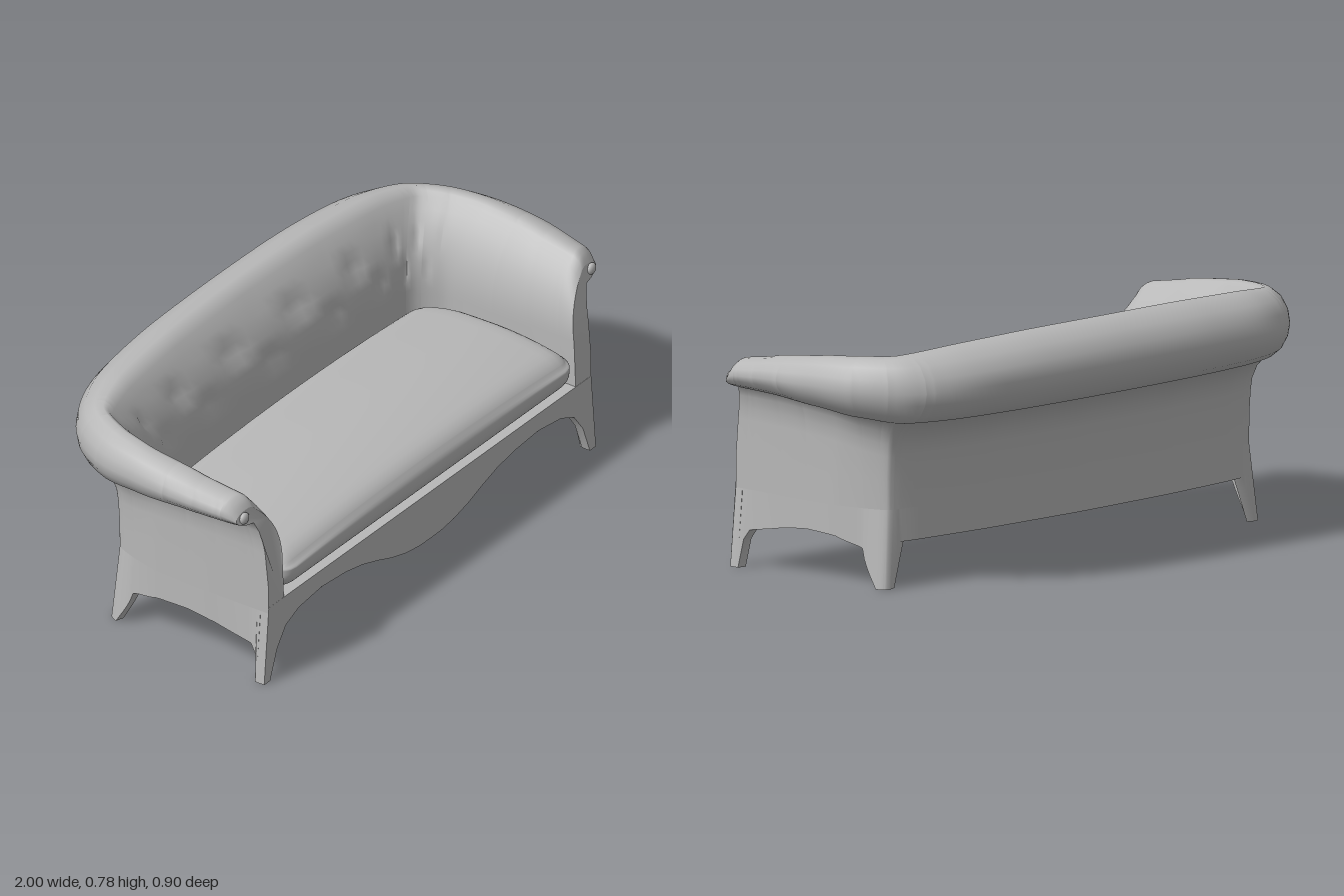
import * as THREE from 'three';
import { toCreasedNormals, mergeVertices } from 'three/addons/utils/BufferGeometryUtils.js';

const grey = new THREE.MeshStandardMaterial({ color: 0xb8b8b8, side: THREE.DoubleSide });
grey.name = 'grey upholstery';
const { lerp, clamp } = THREE.MathUtils;
const FRONT = 0.441;

// Skin a row of cross-sections (arrays of [x, y, z]).
function loft(rings, closed) {
  const n = rings[0].length, index = [];
  for (let i = 0; i < rings.length - 1; i++) {
    for (let j = 0; j < (closed ? n : n - 1); j++) {
      const a = i * n + j, c = i * n + (j + 1) % n, b = a + n, d = c + n;
      index.push(a, b, c, b, d, c);
    }
  }
  const g = new THREE.BufferGeometry();
  g.setAttribute('position', new THREE.Float32BufferAttribute(rings.flat(2), 3));
  g.setIndex(index);
  g.computeVertexNormals();
  return g;
}

// Stations from the left arm's front to the middle of the back:
// wall x, z; roll outer x, z; inner foot x, z; roll bottom y, roll top y
const half = [
  [0.862, FRONT, 0.975, 0.425, 0.78, FRONT, 0.59, 0.675],
  [0.866, 0.2, 1.0, 0.2, 0.78, 0.2, 0.59, 0.71],
  [0.86, 0.0, 0.995, 0.02, 0.775, 0.0, 0.575, 0.735],
  [0.838, -0.1, 0.955, -0.165, 0.755, -0.08, 0.555, 0.746],
  [0.806, -0.178, 0.845, -0.32, 0.7, -0.14, 0.54, 0.753],
  [0.69, -0.2, 0.66, -0.412, 0.6, -0.155, 0.54, 0.768],
  [0.4, -0.222, 0.38, -0.448, 0.36, -0.16, 0.54, 0.78],
  [0, -0.232, 0, -0.455, 0, -0.16, 0.54, 0.783],
];
const mirrored = half.slice(0, 7).reverse().map(([a, b, c, d, e, f, g, h]) => [-a, b, -c, d, -e, f, g, h]);
const keys = [...half, ...mirrored];
const curve = (tension, f) => new THREE.CatmullRomCurve3(keys.map(f), false, 'catmullrom', tension);
const wall = curve(0.2, k => new THREE.Vector3(k[0], k[6], k[1]));
const roll = curve(0.5, k => new THREE.Vector3(k[2], k[7], k[3]));
const foot = curve(0.5, k => new THREE.Vector3(k[4], 0, k[5]));

// Lower edge of sides and back: [station, y], with the legs reaching the floor
const hem = [[0, 0], [0.2, 0], [0.24, 0.09], [0.32, 0.122], [0.8, 0.147], [1.4, 0.158], [2, 0.15],
  [2.95, 0.122], [3.6, 0], [4.24, 0], [4.42, 0.145], [7, 0.145]];
function hemY(k) {
  const m = Math.min(k, 14 - k);
  const i = Math.max(1, hem.findIndex(p => p[0] >= m - 1e-6));
  const [a, b] = [hem[i - 1], hem[i]];
  return lerp(a[1], b[1], clamp((m - a[0]) / (b[0] - a[0]), 0, 1));
}
const stations = [...new Set([
  ...Array.from({ length: 113 }, (_, i) => i / 8),
  ...hem.flatMap(p => [p[0], 14 - p[0]]), 0.06, 13.94,
])].sort((a, b) => a - b);

// The arm fronts lean back with height; the feet flare outwards.
const lean = (y, z) => z - 0.038 * clamp((y - 0.3) / 0.3, 0, 1.1) ** 2 * clamp((z - 0.2) / 0.24, 0, 1);
function flare(x, y, z) {
  const f = Math.max(0, 1 - y / 0.145), back = z < 0;
  return [x + Math.sign(x) * (back ? 0.028 : 0.025) * f, y, z - (back ? 0.012 * f : 0)];
}

// Cross-section of the shell: up the outside, over the roll, down the tufted inside
const flank = [[0.04, 0.12], [0.08, 0.08], [0.2, 0.04], [0.42, 0.004]];
const rollProfile = [[0.6, 0.005], [0.8, 0.12], [0.95, 0.3], [1, 0.48], [0.95, 0.68], [0.8, 0.86], [0.58, 0.97], [0.38, 1], [0.26, 0.96]];
function section(k) {
  const W = wall.getPoint(k / 14), R = roll.getPoint(k / 14), B = foot.getPoint(k / 14);
  const m = Math.min(k, 14 - k), out = [];
  const round = Math.max(0, 1 - m / 0.25) ** 2; // softened front end of the roll
  const yb = W.y, yt = R.y - 0.033 * round, h = yt - yb;
  const spread = lerp(0.6, 1, clamp((m - 2) / 2, 0, 1));
  const at = (s, y) => out.push([lerp(W.x, R.x, s), y, lean(y, lerp(W.z, R.z, s))]);
  at(0, 0.25);
  at(0.01, 0.35);
  flank.forEach(([s, drop]) => at(s * spread, yb - drop));
  rollProfile.forEach(([s, f]) => at(s * (1 - 0.12 * round), yb + f * h));
  const sx = lerp(W.x, R.x, 0.17), sz = lerp(W.z, R.z, 0.17), len = Math.hypot(B.x - W.x, B.z - W.z);
  const fade = clamp((m - 2.8) / 2, 0, 1);
  for (let i = 0; i <= 10; i++) {
    const t = i / 10, y = lerp(yt - 0.12 * h, 0.43, t), e = 1 - (1 - t) ** 2.4;
    const dent = Math.max(0, Math.cos((k - 7) * 7) * Math.cos(t * Math.PI * 3)) ** 2;
    const d = fade * Math.sin(Math.PI * t) * (0.004 - 0.024 * dent) / len;
    out.push([lerp(sx, B.x, e) + (B.x - W.x) * d, y, lean(y, lerp(sz, B.z, e) + (B.z - W.z) * d)]);
  }
  out.push([B.x, 0.25, B.z]);
  return out;
}

// Side and back skirt below the shell, including the legs
function skirtSection(k) {
  const W = wall.getPoint(k / 14), B = foot.getPoint(k / 14), y = hemY(k);
  const f = 0.03 / Math.hypot(B.x - W.x, B.z - W.z);
  const ix = lerp(W.x, B.x, f), iz = lerp(W.z, B.z, f);
  return [flare(W.x, y, W.z), [W.x, 0.25, W.z], [ix, 0.25, iz], flare(ix, y, iz)];
}

// Front apron with a wavy lower edge
function frontApron() {
  const edge = [[0.862, 0], [0.83, 0], [0.81, 0.1], [0.77, 0.165], [0.7, 0.195], [0.58, 0.21], [0.45, 0.2],
    [0.36, 0.183], [0.28, 0.158], [0.2, 0.13], [0.12, 0.11], [0.05, 0.101]];
  const all = [...edge.map(([x, y]) => [-x, y]), [0, 0.1], ...[...edge].reverse()];
  const rings = all.map(([x, y]) => [flare(x, y, FRONT), [x, 0.272, FRONT], [x, 0.272, 0.41], flare(x, y, 0.41)]);
  return toCreasedNormals(loft(rings, true), 0.6);
}

// Domed seat cushion: a rounded box, sloped to the front, with rounded back corners
function cushionGeometry() {
  const g0 = new THREE.BoxGeometry(2, 2, 2, 32, 10, 20);
  g0.deleteAttribute('uv');
  g0.deleteAttribute('normal');
  const g = mergeVertices(g0);
  const p = g.attributes.position, v = new THREE.Vector3(), c = new THREE.Vector3();
  const size = [0.784, 0.077, 0.288], r = 0.065;
  const spread = u => Math.sign(u) * (1 - (1 - Math.abs(u)) ** 1.8);
  for (let i = 0; i < p.count; i++) {
    v.set(spread(p.getX(i)) * size[0], p.getY(i) * size[1], spread(p.getZ(i)) * size[2]);
    c.set(...v.toArray().map((a, j) => clamp(a, r - size[j], size[j] - r)));
    v.sub(c).setLength(r).add(c);
    const u = v.x / size[0], w = v.z / size[2];
    const narrow = 1 - 0.015 * (1 - w) - 0.1 * Math.max(0, (-w - 0.4) / 0.6) ** 2;
    const lift = clamp(v.y / 0.05, 0, 1);
    const dome = lift * (0.026 * (1 - u * u) - 0.045 * Math.max(0, (w + 0.1) / 1.1) ** 2);
    p.setXYZ(i, v.x * narrow, v.y + dome + 0.352, v.z + 0.158);
  }
  g.computeVertexNormals();
  return g;
}

// Seat base filling the plan between the walls
function baseGeometry() {
  const plan = [[0.835, 0.415], [0.835, 0], [0.812, -0.09], [0.785, -0.16], [0.4, -0.2], [0, -0.21]];
  const outline = [...plan, ...plan.slice(0, 5).reverse().map(([x, z]) => [-x, z])];
  const shape = new THREE.Shape(outline.map(([x, z]) => new THREE.Vector2(x, z)));
  return new THREE.ExtrudeGeometry(shape, { depth: 0.09, bevelEnabled: false }).rotateX(Math.PI / 2).translate(0, 0.272, 0);
}

export function createModel() {
  const sofa = new THREE.Group();
  sofa.name = 'sofa';
  const add = (name, geometry) => {
    const mesh = new THREE.Mesh(geometry, grey);
    mesh.name = name;
    sofa.add(mesh);
    return mesh;
  };

  add('rolledBackAndArms', loft(stations.map(section), false));
  add('skirtAndLegs', toCreasedNormals(loft(stations.map(skirtSection), true), 0.6));
  add('frontApron', frontApron());
  add('seatCushion', cushionGeometry());
  add('seatBase', baseGeometry());

  // Arm fronts and scroll buttons
  for (const [name, k, side] of [['leftArm', 0, 1], ['rightArm', 14, -1]]) {
    const ring = section(k);
    const face = new THREE.ShapeGeometry(new THREE.Shape(ring.map(([x, y]) => new THREE.Vector2(x, y))));
    const p = face.attributes.position;
    for (let i = 0; i < p.count; i++) {
      const match = ring.find(([x, y]) => Math.hypot(x - p.getX(i), y - p.getY(i)) < 1e-5);
      p.setZ(i, match[2]);
    }
    face.computeVertexNormals();
    add(name + 'Front', face);
    const button = add(name + 'Button', new THREE.SphereGeometry(0.02, 16, 10));
    button.position.set(side * 0.928, 0.618, 0.394);
    button.scale.z = 0.6;
  }
  return sofa;
}
